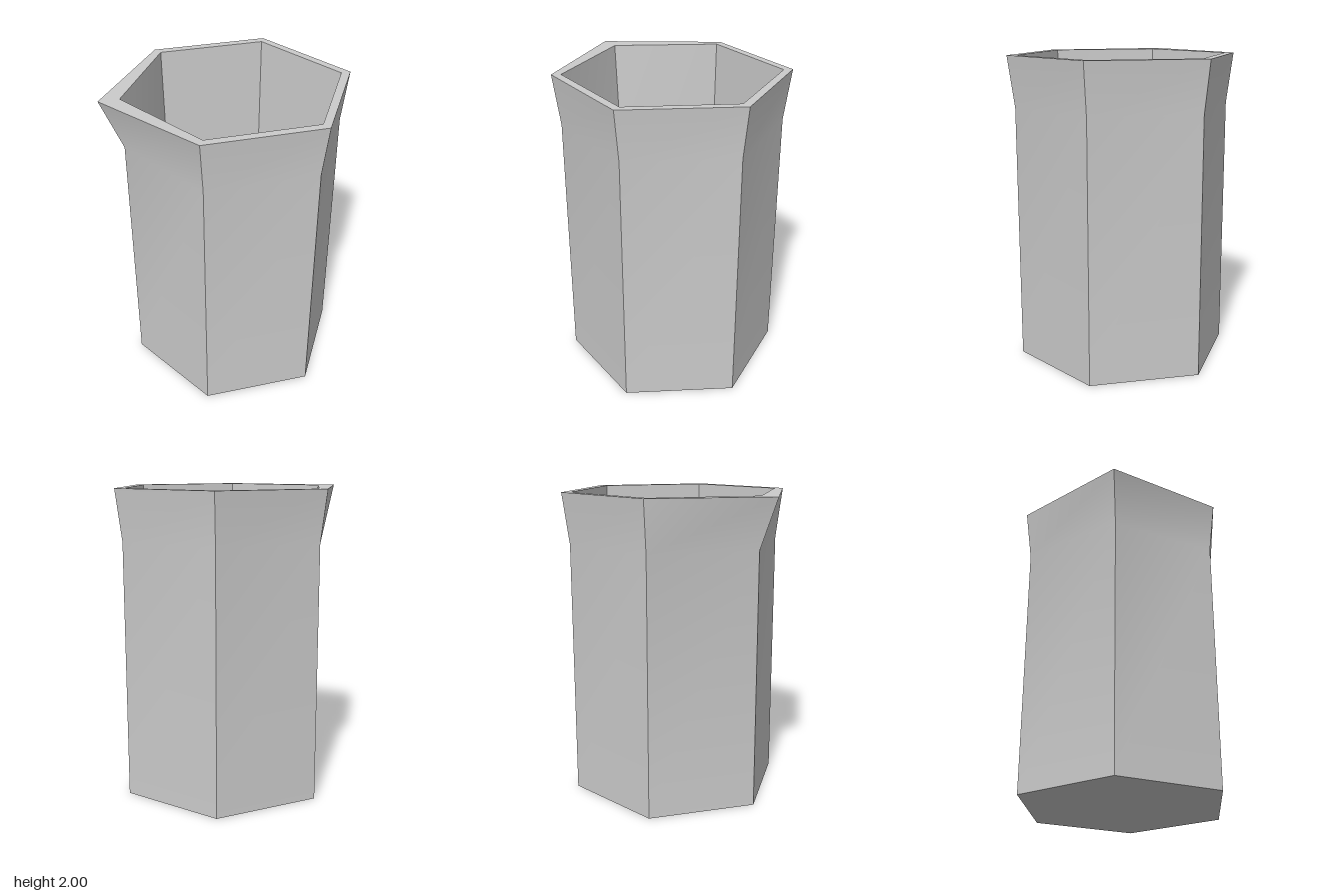
import * as THREE from 'three';
import { toCreasedNormals } from 'three/addons/utils/BufferGeometryUtils.js';

// One mirrored hexagonal cross-section: right corner, front/back pairs, left corner
function ring(y, right, nearRight, nearLeft, left, halfDepth) {
  return [
    [right, 0], [nearRight, halfDepth], [nearLeft, halfDepth],
    [left, 0], [nearLeft, -halfDepth], [nearRight, -halfDepth],
  ].map(([x, z]) => new THREE.Vector3(x, y, z));
}

// Join successive rings with quads and close the first and last ring
function loft(rings) {
  const points = [];
  const tri = (...corners) => corners.forEach((p) => points.push(p.x, p.y, p.z));
  const first = rings[0];
  const last = rings[rings.length - 1];
  const n = first.length;
  for (let i = 0; i < n; i++) {
    const j = (i + 1) % n;
    for (let r = 0; r < rings.length - 1; r++) {
      const a = rings[r];
      const b = rings[r + 1];
      tri(a[i], b[i], a[j]);
      tri(a[j], b[i], b[j]);
    }
    if (i > 0 && j > 0) {
      tri(first[0], first[i], first[j]);
      tri(last[0], last[j], last[i]);
    }
  }
  const geometry = new THREE.BufferGeometry();
  geometry.setAttribute('position', new THREE.Float32BufferAttribute(points, 3));
  return toCreasedNormals(geometry, 0.6);
}

export function createModel() {
  const group = new THREE.Group();
  group.name = 'hexagonalBeaker';

  // Hollow cup: straight outside, flared lip with a spout at -x, tapered inside
  const cup = new THREE.Mesh(
    loft([
      ring(0, 0.75, 0.395, -0.31, -0.66, 0.612), // base
      ring(1.67, 0.75, 0.395, -0.31, -0.66, 0.612), // start of flare
      ring(2, 0.793, 0.417, -0.333, -0.795, 0.65), // outer lip
      ring(2, 0.732, 0.39, -0.303, -0.665, 0.597), // inner lip
      ring(0.06, 0.69, 0.367, -0.283, -0.54, 0.562), // inside floor
    ]),
    new THREE.MeshStandardMaterial({ color: 0xcccccc }),
  );
  cup.name = 'cup';
  group.add(cup);
  return group;
}
